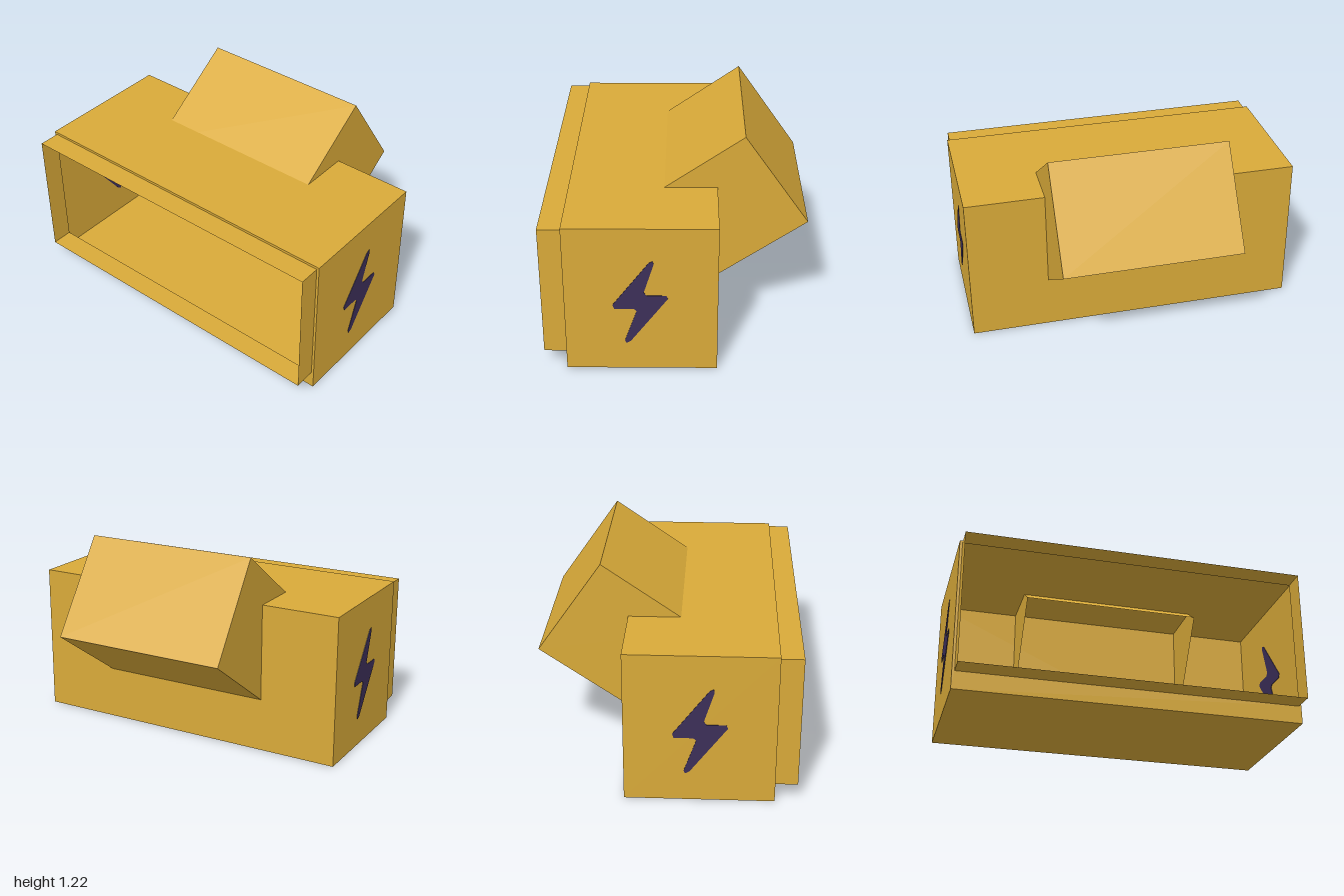
import * as THREE from 'three';

const ochre = new THREE.MeshStandardMaterial({ color: 0xd9aa39, side: THREE.DoubleSide });
ochre.name = 'ochre';
const indigo = new THREE.MeshStandardMaterial({ color: 0x3c2f59, side: THREE.DoubleSide });
indigo.name = 'indigo';

// Box made of thin sheets, without the listed faces (0 +x, 1 -x, 2 +y, 3 -y, 4 +z, 5 -z)
function openBox(name, size, position, missing) {
  const geometry = new THREE.BoxGeometry(...size);
  const kept = Array.from(geometry.index.array)
    .filter((_, i) => !missing.includes(Math.floor(i / 6)));
  geometry.setIndex(kept);
  geometry.clearGroups();
  const mesh = new THREE.Mesh(geometry, ochre);
  mesh.name = name;
  mesh.position.set(...position);
  return mesh;
}

function rectangle(PathType, x, y0, y1) {
  return new PathType([[-x, y0], [x, y0], [x, y1], [-x, y1]].map(p => new THREE.Vector2(...p)));
}

export function createModel() {
  const group = new THREE.Group();
  group.name = 'boxWithChute';

  // Hollow main box, open to the front
  const back = -0.225, front = 0.62;
  group.add(openBox('mainBox', [2, 0.903, front - back], [0, 0.4515, (front + back) / 2], [4]));

  // Narrow frame around the front opening
  const frameShape = rectangle(THREE.Shape, 1, 0, 0.903);
  frameShape.holes.push(rectangle(THREE.Path, 0.985, 0.105, 0.888));
  const frame = new THREE.Mesh(new THREE.ShapeGeometry(frameShape), ochre);
  frame.name = 'frontFrame';
  frame.position.z = front;
  group.add(frame);

  // Sleeve standing out from the opening
  group.add(openBox('frontSleeve', [1.97, 0.783, 0.127], [0, 0.4965, front + 0.0635], [4, 5]));

  // Tilted chute through the back and top, open at its inner end
  const chute = openBox('rearChute', [1.055, 0.65, 0.689], [0, 0.753, -0.278], [4]);
  chute.rotation.x = 0.607;
  group.add(chute);

  // Lightning bolts on both side walls, seen from outside and inside
  const boltShape = new THREE.Shape([
    [0.07, 0.705], [0.074, 0.685], [0.018, 0.505], [0.034, 0.485], [0.142, 0.485],
    [0.15, 0.465], [-0.058, 0.185], [-0.082, 0.172], [-0.09, 0.19], [-0.022, 0.385],
    [-0.038, 0.4], [-0.146, 0.4], [-0.154, 0.425], [0.048, 0.695],
  ].map(p => new THREE.Vector2(...p)));
  const boltGeometry = new THREE.ExtrudeGeometry(boltShape, { depth: 0.006, bevelEnabled: false });
  boltGeometry.translate(0, 0, -0.003);
  for (const side of [1, -1]) {
    const bolt = new THREE.Mesh(boltGeometry, indigo);
    bolt.name = side > 0 ? 'leftBolt' : 'rightBolt';
    bolt.position.set(side, 0, 0.2);
    bolt.rotation.y = side * Math.PI / 2;
    group.add(bolt);
  }

  return group;
}
